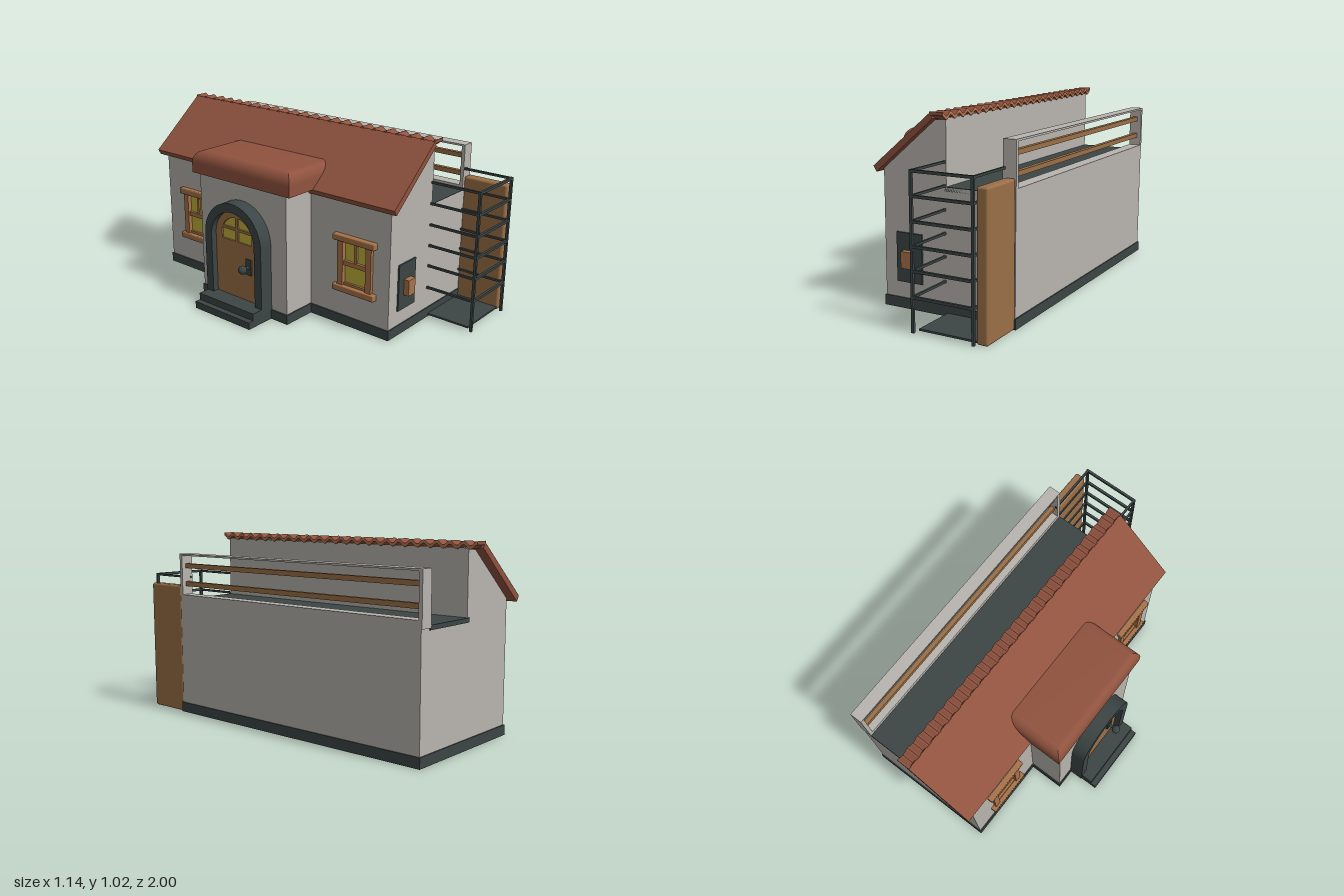
import * as THREE from 'three';
import { toCreasedNormals } from 'three/addons/utils/BufferGeometryUtils.js';
import { RoundedBoxGeometry } from 'three/addons/geometries/RoundedBoxGeometry.js';

const mat = (name, color) => {
  const m = new THREE.MeshStandardMaterial({ color });
  m.name = name;
  return m;
};

export function createModel() {
  const plaster = mat('plaster', 0xb8b4ae);
  const slate = mat('slate', 0x3c4545);
  const terracotta = mat('terracotta', 0x8f523e);
  const lightTile = mat('lightTile', 0xb9744f);
  const wood = mat('wood', 0x9a6f47);
  const trim = mat('windowWood', 0xa8734a);
  const glass = mat('glass', 0xc4b23c);

  const root = new THREE.Group();
  root.name = 'house';

  const add = (name, geo, material, parent = root) => {
    const m = new THREE.Mesh(geo, material);
    m.name = name;
    parent.add(m);
    return m;
  };
  // box given by its extents on each axis
  const box = (name, material, [x0, x1], [y0, y1], [z0, z1], parent = root) => {
    const m = add(name, new THREE.BoxGeometry(x1 - x0, y1 - y0, z1 - z0), material, parent);
    m.position.set((x0 + x1) / 2, (y0 + y1) / 2, (z0 + z1) / 2);
    return m;
  };
  const poly = pts => new THREE.Shape(pts.map(p => new THREE.Vector2(...p)));
  const rect = (a0, a1, b0, b1) => poly([[a0, b0], [a1, b0], [a1, b1], [a0, b1]]);
  // outline in (x, y), extruded along z
  const extrudeZ = (shape, z0, z1) =>
    new THREE.ExtrudeGeometry(shape, { depth: z1 - z0, bevelEnabled: false }).translate(0, 0, z0);
  // outline in (z, y), extruded along x
  const extrudeX = (shape, x0, x1) => {
    const g = new THREE.ExtrudeGeometry(shape, { depth: x1 - x0, bevelEnabled: false, curveSegments: 24 });
    return g.rotateY(-Math.PI / 2).translate(x1, 0, 0);
  };
  const smooth = g => toCreasedNormals(g, 0.6);

  const zBack = -0.95, zFront = 0.71, doorZ = -0.13;
  const porch = [-0.45, 0.19];
  const windows = [-0.695, 0.495];

  // End walls with the sloped gable and the open terrace side
  const gable = poly([[-0.19, 0], [0.56, 0], [0.56, 0.65], [0.18, 0.65], [0.18, 0.985], [0.12, 0.975], [-0.19, 0.715]]);
  add('backWall', extrudeZ(gable, zBack, zBack + 0.02), plaster);
  add('frontWall', extrudeZ(gable, zFront - 0.02, zFront), plaster);

  // Entrance side wall, with window holes and the way into the porch
  const side = poly([[zBack, 0], [porch[0], 0], [porch[0], 0.66], [porch[1], 0.66], [porch[1], 0],
    [zFront, 0], [zFront, 0.715], [zBack, 0.715]]);
  windows.forEach(z => side.holes.push(rect(z - 0.09, z + 0.09, 0.22, 0.5)));
  add('entranceSideWall', extrudeX(side, -0.19, -0.17), plaster);

  // Terrace side wall, parapet with opening, terrace floor and the tall wall
  box('terraceSideWall', plaster, [0.54, 0.56], [0, 0.65], [zBack, zFront]);
  const parapet = rect(-0.955, zFront, 0.64, 0.91);
  parapet.holes.push(rect(-0.935, 0.69, 0.68, 0.9));
  add('parapet', extrudeX(parapet, 0.49, 0.561), plaster);
  for (const y of [0.74, 0.842]) box('parapetRail', wood, [0.513, 0.538], [y - 0.013, y + 0.013], [-0.94, 0.695]);
  box('terraceFloor', slate, [0.17, 0.495], [0.63, 0.653], [-0.955, zFront]);
  box('tallWall', plaster, [0.16, 0.18], [0.63, 0.985], [zBack, zFront]);

  // Porch walls with an arched doorway
  const archPath = (shape, half, y0) => {
    shape.moveTo(doorZ - half, y0);
    shape.lineTo(doorZ + half, y0);
    shape.lineTo(doorZ + half, 0.425);
    shape.absarc(doorZ, 0.425, half, 0, Math.PI, false);
    shape.closePath();
    return shape;
  };
  const porchFront = rect(porch[0], porch[1], 0, 0.735);
  porchFront.holes.push(archPath(new THREE.Path(), 0.16, 0.01));
  add('porchFrontWall', smooth(extrudeX(porchFront, -0.39, -0.37)), plaster);
  box('porchSideWall', plaster, [-0.39, -0.17], [0, 0.735], [porch[0], porch[0] + 0.02]);
  box('porchSideWall', plaster, [-0.39, -0.17], [0, 0.735], [porch[1] - 0.02, porch[1]]);

  // Dark skirting around the foot of all walls
  const skirt = (x, z) => box('skirting', slate, x, [0, 0.055], z);
  skirt([0.535, 0.566], [-0.956, 0.716]);
  for (const z of [zBack, zFront]) {
    const c = z < 0 ? z + 0.01 : z - 0.01;
    skirt([-0.196, 0.566], [c - 0.016, c + 0.016]);
  }
  skirt([-0.196, -0.165], [zBack, porch[0]]);
  skirt([-0.196, -0.165], [porch[1], zFront]);
  skirt([-0.396, -0.165], [porch[0] - 0.006, porch[0] + 0.025]);
  skirt([-0.396, -0.165], [porch[1] - 0.025, porch[1] + 0.006]);
  skirt([-0.396, -0.365], [porch[0], -0.29]);
  skirt([-0.396, -0.365], [0.03, porch[1]]);

  // Main roof slope
  add('roofSlope', extrudeZ(poly([[-0.225, 0.73], [-0.207, 0.7], [0.13, 0.984], [0.115, 1.012]]), -1, 0.75), terracotta);

  // Wavy ridge tiles
  const waves = 23, steps = waves * 8, top = [], under = [];
  for (let i = 0; i <= steps; i++) {
    const z = -1 + 1.75 * i / steps;
    const w = 0.011 * Math.cos(2 * Math.PI * waves * i / steps);
    top.push([z, 1.007 + w]);
    under.unshift([z, 0.989 + w]);
  }
  add('ridgeTiles', extrudeX(poly([...under.reverse(), ...top.reverse()]), 0.112, 0.187), [lightTile, terracotta]);

  // Rounded porch roof; the lower bevel is pressed flat
  const plan = poly([[-0.355, -0.175], [0.03, -0.175], [0.03, 0.435], [-0.355, 0.435]]);
  const hood = new THREE.ExtrudeGeometry(plan, {
    depth: 0.06, bevelThickness: 0.065, bevelSize: 0.055, bevelSegments: 6,
  }).rotateX(-Math.PI / 2).translate(0, 0.73, 0);
  const hp = hood.attributes.position;
  for (let i = 0; i < hp.count; i++) hp.setY(i, Math.max(0.73, hp.getY(i)));
  add('porchRoof', smooth(hood), terracotta);

  // Door frame, door, glazing and knob
  const frame = archPath(new THREE.Shape(), 0.21, 0);
  frame.holes.push(archPath(new THREE.Path(), 0.16, 0.005));
  add('doorFrame', smooth(extrudeX(frame, -0.47, -0.375)), slate);
  const door = archPath(new THREE.Shape(), 0.162, 0.06);
  for (const s of [-1, 1]) {
    const pane = new THREE.Path();
    pane.moveTo(doorZ + s * 0.009, 0.485);
    for (let i = 0; i <= 8; i++) {
      const a = 0.524 + (1.496 - 0.524) * i / 8;
      pane.lineTo(doorZ + s * 0.12 * Math.cos(a), 0.425 + 0.12 * Math.sin(a));
    }
    pane.closePath();
    door.holes.push(pane);
    const a = doorZ + s * 0.009, b = doorZ + s * 0.112;
    door.holes.push(rect(Math.min(a, b), Math.max(a, b), 0.41, 0.47));
  }
  add('door', extrudeX(door, -0.435, -0.41), wood);
  add('doorGlass', extrudeX(archPath(new THREE.Shape(), 0.135, 0.4), -0.426, -0.419), glass);
  box('lockPlate', slate, [-0.444, -0.435], [0.24, 0.33], [-0.06, -0.02]);
  const stem = add('knobStem', new THREE.CylinderGeometry(0.009, 0.009, 0.05, 12).rotateZ(Math.PI / 2), slate);
  stem.position.set(-0.46, 0.285, -0.04);
  add('doorKnob', new THREE.SphereGeometry(0.024, 20, 14), slate).position.set(-0.487, 0.285, -0.04);

  // Entrance steps
  box('lowerStep', slate, [-0.57, -0.38], [0, 0.04], [-0.335, 0.08]);
  box('upperStep', slate, [-0.537, -0.38], [0.03, 0.08], [-0.335, 0.08]);

  // Windows with sill, lintel, posts and bars
  for (const z of windows) {
    const win = new THREE.Group();
    win.name = 'window';
    win.position.z = z;
    root.add(win);
    for (const y of [0.2, 0.485])
      add('sill', new RoundedBoxGeometry(0.06, 0.036, 0.27, 2, 0.006), trim, win).position.set(-0.19, y + 0.018, 0);
    for (const s of [-1, 1]) {
      const c = s * 0.092;
      box('post', trim, [-0.208, -0.162], [0.23, 0.49], [c - 0.018, c + 0.018], win);
    }
    box('middleRail', trim, [-0.2, -0.166], [0.35, 0.375], [-0.08, 0.08], win);
    box('upperBar', trim, [-0.195, -0.17], [0.37, 0.49], [-0.008, 0.008], win);
    box('lowerRail', trim, [-0.197, -0.168], [0.235, 0.25], [-0.08, 0.08], win);
    box('pane', glass, [-0.184, -0.177], [0.22, 0.5], [-0.09, 0.09], win);
  }

  // Wall hatch beside the ladder
  box('hatchPlate', slate, [-0.115, 0.037], [0.14, 0.398], [0.685, 0.719]);
  box('hatchHandle', trim, [-0.07, -0.01], [0.22, 0.308], [0.68, 0.75]);

  // Tall wooden cupboard at the terrace corner
  add('cupboard', new RoundedBoxGeometry(0.06, 0.73, 0.26, 3, 0.012), wood).position.set(0.53, 0.365, 0.84);

  // Ladder cage with its base plate
  const ladder = new THREE.Group();
  ladder.name = 'ladder';
  root.add(ladder);
  for (const x of [0.171, 0.499])
    box('ladderPost', slate, [x - 0.007, x + 0.007], [0.004, 0.782], [0.986, 1], ladder);
  for (const y of [0.178, 0.305, 0.422, 0.54, 0.658, 0.775]) {
    box('rung', slate, [0.171, 0.499], [y - 0.007, y + 0.007], [0.986, 1], ladder);
    for (const x of [0.171, 0.499])
      box('sideBar', slate, [x - 0.006, x + 0.006], [y - 0.006, y + 0.006], [0.685, 0.99], ladder);
  }
  box('ladderBase', slate, [0.185, 0.505], [0.008, 0.018], [0.7, 0.965], ladder);

  return root;
}
